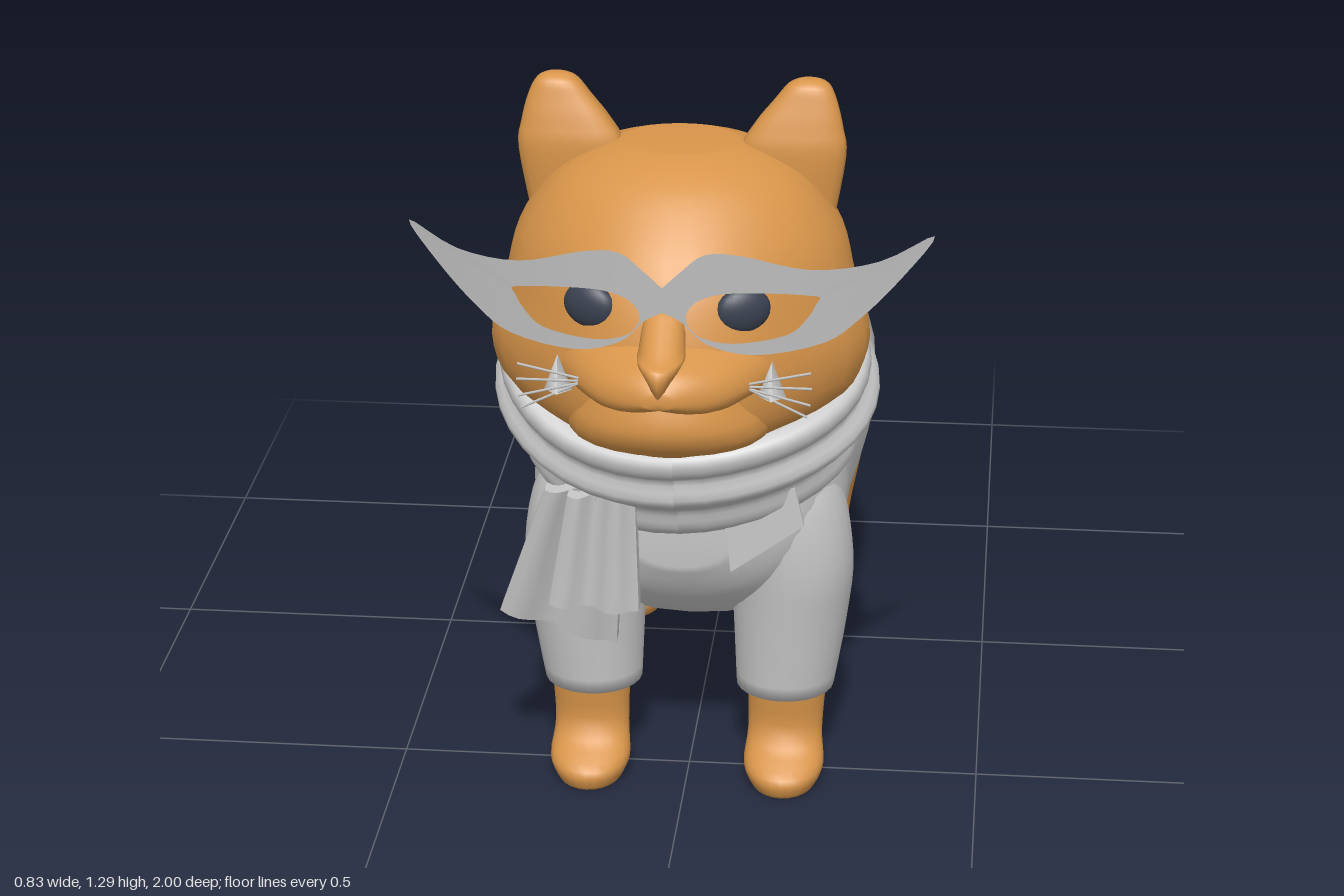
import * as THREE from 'three';

const material = (name, color, side = THREE.FrontSide) => {
  const m = new THREE.MeshStandardMaterial({ color, side });
  m.name = name;
  return m;
};

// Smooth skin over oval sections [t, x, c, width, plus, minus], with t rising along the axis.
// Along 'z' c is the height (plus = up); along 'y' c is the depth (plus = front).
function loft(axis, sections, { n = 24, steps = 4, power = 1 } = {}) {
  const rows = [];
  const last = sections.length - 1;
  for (let i = 0; i <= last * steps; i++) {
    const k = Math.min(Math.floor(i / steps), last - 1);
    const f = i / steps - k;
    const at = j => sections[Math.max(0, Math.min(last, j))];
    rows.push(sections[0].map((_, q) => {
      const p0 = at(k - 1)[q], p1 = at(k)[q], p2 = at(k + 1)[q], p3 = at(k + 2)[q];
      return 0.5 * (2 * p1 + (p2 - p0) * f + (2 * p0 - 5 * p1 + 4 * p2 - p3) * f * f
        + (3 * p1 - p0 - 3 * p2 + p3) * f * f * f);
    }));
  }
  const pos = [], idx = [];
  const put = (t, x, c) => (axis === 'z' ? pos.push(x, c, t) : pos.push(x, t, c));
  const tri = (a, b, c) => (axis === 'z' ? idx.push(a, b, c) : idx.push(a, c, b));
  const soft = v => Math.sign(v) * Math.abs(v) ** power;
  rows.forEach(([t, x, c, w, plus, minus], i) => {
    for (let j = 0; j < n; j++) {
      const a = j / n * Math.PI * 2, s = soft(Math.sin(a));
      put(t, x + w * soft(Math.cos(a)), c + (s > 0 ? plus : minus) * s);
      if (i === 0) continue;
      const p = (i - 1) * n + j, q = (i - 1) * n + (j + 1) % n;
      tri(p, q, q + n);
      tri(p, q + n, p + n);
    }
  });
  const end = rows.length - 1, base = rows.length * n;
  put(...rows[0]);
  put(...rows[end]);
  for (let j = 0; j < n; j++) {
    const k = (j + 1) % n;
    tri(base, k, j);
    tri(base + 1, end * n + j, end * n + k);
  }
  return surface(pos, idx);
}

function surface(pos, idx) {
  const g = new THREE.BufferGeometry();
  g.setAttribute('position', new THREE.Float32BufferAttribute(pos, 3));
  g.setIndex(idx);
  g.computeVertexNormals();
  return g;
}

// Moves every vertex by a rule
function warp(g, rule) {
  const p = g.attributes.position, v = new THREE.Vector3();
  for (let i = 0; i < p.count; i++) {
    v.fromBufferAttribute(p, i);
    rule(v);
    p.setXYZ(i, v.x, v.y, v.z);
  }
  g.computeVertexNormals();
  return g;
}

// One half of the winged spectacles: a curved band between the outer rim and the lens hole
const spline = list => new THREE.SplineCurve(list.map(p => new THREE.Vector2(...p))).getPoints(52);
function spectacleHalf(s) {
  const rim = spline([[0, 1.055], [0.03, 1.085], [0.067, 1.114], [0.125, 1.11], [0.227, 1.078], [0.33, 1.077], [0.413, 1.104],
    [0.363, 1.04], [0.3, 0.98], [0.245, 0.946], [0.14, 0.935], [0.067, 0.957], [0.03, 0.995], [0, 1.012]]);
  const hole = spline([[0.036, 1.01], [0.05, 1.03], [0.08, 1.043], [0.12, 1.046], [0.18, 1.041], [0.225, 1.033], [0.24, 1.028],
    [0.235, 1.018], [0.222, 0.995], [0.19, 0.967], [0.11, 0.957], [0.06, 0.968], [0.042, 0.985], [0.036, 0.997]]);
  const pos = [], idx = [], n = rim.length, across = 4;
  for (let k = 0; k <= across; k++) {
    for (let j = 0; j < n; j++) {
      const { x, y } = rim[j].clone().lerp(hole[j], k / across);
      pos.push(s * x, y, 0.91 - 0.83 * x * x + (y - 1.03) * 0.15);
      if (k === 0) continue;
      const a = (k - 1) * n + j, b = (k - 1) * n + (j + 1) % n;
      if (s > 0) idx.push(a, b + n, a + n, a, b, b + n);
      else idx.push(a, a + n, b + n, a, b + n, b);
    }
  }
  return surface(pos, idx);
}

export function createModel() {
  const model = new THREE.Group();
  model.name = 'cat';
  const fur = material('orange fur', 0xd8954a);
  const cloth = material('grey cloth', 0xc8c8c8, THREE.DoubleSide);
  const dark = material('dark eye', 0x3a4150);
  const add = (name, geometry, mat) => {
    const m = new THREE.Mesh(geometry, mat);
    m.name = name;
    model.add(m);
    return m;
  };

  // Rump and tail
  add('rump', loft('z', [
    [-0.29, 0, 0.61, 0.09, 0.1, 0.12], [-0.255, 0, 0.59, 0.185, 0.165, 0.18], [-0.19, 0, 0.57, 0.247, 0.215, 0.22],
    [-0.1, 0, 0.55, 0.275, 0.245, 0.25], [0, 0, 0.53, 0.28, 0.265, 0.265], [0.1, 0, 0.53, 0.26, 0.25, 0.26],
  ], { n: 32, power: 0.94 }), fur);
  add('tail', loft('z', [
    [-1, 0, 0.575, 0.02, 0.02, 0.02], [-0.97, 0, 0.576, 0.058, 0.042, 0.042], [-0.9, 0, 0.584, 0.078, 0.052, 0.052],
    [-0.6, 0, 0.625, 0.082, 0.068, 0.068], [-0.3, 0, 0.645, 0.083, 0.085, 0.085], [-0.15, 0, 0.66, 0.1, 0.1, 0.1],
  ]), fur);

  // Sweater body, its hem cut forward under the belly
  const sweater = loft('z', [
    [-0.045, 0, 0.52, 0.292, 0.295, 0.27], [0.1, 0, 0.52, 0.286, 0.285, 0.285], [0.25, 0, 0.52, 0.27, 0.29, 0.288],
    [0.4, 0, 0.53, 0.268, 0.275, 0.28], [0.5, 0, 0.53, 0.26, 0.25, 0.235], [0.6, 0, 0.54, 0.2, 0.2, 0.17],
    [0.65, 0, 0.55, 0.1, 0.1, 0.1],
  ], { n: 32, power: 0.88 });
  add('sweater', warp(sweater, v => {
    if (v.z < 0.1) v.z += 0.075 * THREE.MathUtils.smoothstep(0.6 - v.y, 0.05, 0.25) * (0.1 - v.z) / 0.145;
  }), cloth);

  // Head, muzzle with a raised lip centre, chin and nose
  const head = loft('y', [
    [0.73, 0, 0.68, 0.08, 0.12, 0.12], [0.75, 0, 0.66, 0.17, 0.21, 0.18], [0.79, 0, 0.63, 0.275, 0.275, 0.22],
    [0.87, 0, 0.62, 0.308, 0.295, 0.24], [0.96, 0, 0.62, 0.285, 0.282, 0.245], [1.05, 0, 0.61, 0.262, 0.255, 0.22],
    [1.13, 0, 0.6, 0.21, 0.19, 0.17], [1.17, 0, 0.6, 0.15, 0.13, 0.12], [1.19, 0, 0.6, 0.09, 0.07, 0.07],
  ], { n: 36 });
  add('head', warp(head, v => { v.x *= 1 - 0.15 * THREE.MathUtils.smoothstep(v.z, 0.66, 0.84); }), fur);
  const muzzle = loft('z', [
    [0.74, 0, 0.89, 0.22, 0.12, 0.06], [0.85, 0, 0.888, 0.165, 0.085, 0.052], [0.925, 0, 0.885, 0.112, 0.06, 0.046],
    [0.96, 0, 0.886, 0.068, 0.044, 0.038], [0.982, 0, 0.89, 0.02, 0.015, 0.015],
  ], { n: 32 });
  add('muzzle', warp(muzzle, v => {
    if (v.y < 0.885) v.y += 0.025 * Math.max(0, 1 - Math.abs(v.x) / 0.1) * Math.min(1, (0.885 - v.y) / 0.04);
  }), fur);
  add('chin', loft('y', [
    [0.755, 0, 0.8, 0.13, 0.07, 0.05], [0.78, 0, 0.8, 0.16, 0.13, 0.05], [0.81, 0, 0.8, 0.16, 0.157, 0.05],
    [0.84, 0, 0.8, 0.145, 0.162, 0.05], [0.88, 0, 0.8, 0.12, 0.15, 0.05],
  ]), fur);
  add('nose', loft('y', [
    [0.895, 0, 0.95, 0.008, 0.03, 0.04], [0.92, 0, 0.945, 0.02, 0.05, 0.05], [0.944, 0, 0.935, 0.036, 0.056, 0.06],
    [0.958, 0, 0.91, 0.036, 0.055, 0.05], [1.01, 0, 0.865, 0.03, 0.025, 0.03],
  ], { n: 16 }), fur);

  for (const s of [1, -1]) {
    const side = s > 0 ? 'left' : 'right';

    // Ears, flat in front and round behind
    add(side + 'Ear', loft('y', [
      [1.05, s * 0.165, 0.59, 0.08, 0.03, 0.06], [1.165, s * 0.178, 0.595, 0.086, 0.03, 0.075],
      [1.21, s * 0.186, 0.592, 0.073, 0.026, 0.06], [1.25, s * 0.197, 0.585, 0.052, 0.022, 0.045],
      [1.277, s * 0.202, 0.578, 0.034, 0.02, 0.03], [1.287, s * 0.203, 0.575, 0.015, 0.008, 0.01],
    ], { n: 20, power: 0.85 }), fur);

    const eye = add(side + 'Eye', new THREE.SphereGeometry(1, 20, 14), dark);
    eye.position.set(s * 0.12, 0.998, 0.85);
    eye.scale.set(0.045, 0.037, 0.02);
    eye.rotation.y = s * 0.4;

    // Legs and sleeves
    add(side + 'HindLeg', loft('y', [
      [0, s * 0.168, -0.11, 0.055, 0.072, 0.08], [0.035, s * 0.168, -0.115, 0.069, 0.085, 0.085],
      [0.085, s * 0.168, -0.155, 0.062, 0.055, 0.058], [0.2, s * 0.168, -0.165, 0.074, 0.075, 0.08],
      [0.33, s * 0.165, -0.15, 0.1, 0.13, 0.118], [0.45, s * 0.155, -0.13, 0.115, 0.15, 0.13],
      [0.6, s * 0.1, -0.13, 0.12, 0.12, 0.12],
    ]), fur);
    add(side + 'FrontLeg', loft('y', [
      [0, s * 0.168, 0.545, 0.055, 0.07, 0.06], [0.035, s * 0.168, 0.545, 0.069, 0.075, 0.066],
      [0.085, s * 0.168, 0.51, 0.064, 0.045, 0.045], [0.18, s * 0.17, 0.5, 0.068, 0.06, 0.06],
      [0.26, s * 0.17, 0.49, 0.07, 0.06, 0.06],
    ]), fur);
    add(side + 'Sleeve', loft('y', [
      [0.165, s * 0.166, 0.493, 0.084, 0.08, 0.085], [0.3, s * 0.174, 0.49, 0.098, 0.1, 0.1],
      [0.42, s * 0.176, 0.5, 0.105, 0.105, 0.13], [0.55, s * 0.145, 0.5, 0.11, 0.105, 0.13],
      [0.66, s * 0.09, 0.5, 0.09, 0.08, 0.08],
    ]), cloth);

    // Lapel
    const flap = new THREE.Shape([[0.085, 0.45], [0.205, 0.53], [0.19, 0.6], [0.07, 0.6]]
      .map(([x, y]) => new THREE.Vector2(s * x, y)));
    add(side + 'Lapel', warp(new THREE.ExtrudeGeometry(flap, { depth: 0.008, bevelEnabled: false }),
      v => { v.z += 0.665 - Math.abs(v.x) * 0.16; }), cloth);

    add(side + 'SpectacleFrame', spectacleHalf(s), cloth);

    // Whiskers on a small pointed pad
    const pad = add(side + 'WhiskerPad', new THREE.ConeGeometry(0.022, 0.06, 4), cloth);
    pad.position.set(s * 0.168, 0.895, 0.878);
    for (const [dy, tilt] of [[0.012, 0.22], [0, 0], [-0.012, -0.25], [-0.02, -0.45]]) {
      const w = add(side + 'Whisker', new THREE.CylinderGeometry(0.0022, 0.0022, 0.13, 5), cloth);
      w.position.set(s * 0.166, 0.888 + dy, 0.895);
      w.rotation.z = Math.PI / 2 + s * tilt;
    }
  }

  // Scarf, a tilted ring of uneven folds
  const profile = new THREE.SplineCurve([
    [0.23, -0.12], [0.262, -0.138], [0.29, -0.1], [0.282, -0.06], [0.296, -0.035], [0.322, 0.005], [0.298, 0.04],
    [0.308, 0.065], [0.3, 0.09], [0.265, 0.095], [0.23, 0.07], [0.23, -0.12],
  ].map(p => new THREE.Vector2(...p)));
  const scarf = add('scarf', warp(new THREE.LatheGeometry(profile.getPoints(36), 40), v => {
    v.y += 0.008 * Math.sin(Math.atan2(v.x, v.z) * 3);
    v.z *= 0.83;
  }), cloth);
  scarf.position.set(0, 0.735, 0.515);
  scarf.rotation.x = 0.5;

  // Hanging scarf ends: corners are top left, top right, bottom left, bottom right
  const hanging = (name, [a, b, c, d], zTop, zBottom) => {
    const g = warp(new THREE.BoxGeometry(1, 1, 0.03, 12, 5, 1), v => {
      const u = v.x + 0.5, t = 0.5 - v.y;
      const mix = i => THREE.MathUtils.lerp(a[i] + (b[i] - a[i]) * u, c[i] + (d[i] - c[i]) * u, t);
      v.set(mix(0), mix(1), v.z + zTop + (zBottom - zTop) * t + 0.012 * Math.sin(u * 11));
    });
    add(name, g, cloth);
  };
  hanging('longScarfEnd', [[-0.22, 0.6], [-0.09, 0.6], [-0.308, 0.345], [-0.112, 0.288]], 0.67, 0.61);
  hanging('shortScarfEnd', [[-0.18, 0.6], [-0.07, 0.6], [-0.215, 0.395], [-0.066, 0.383]], 0.69, 0.68);

  return model;
}
